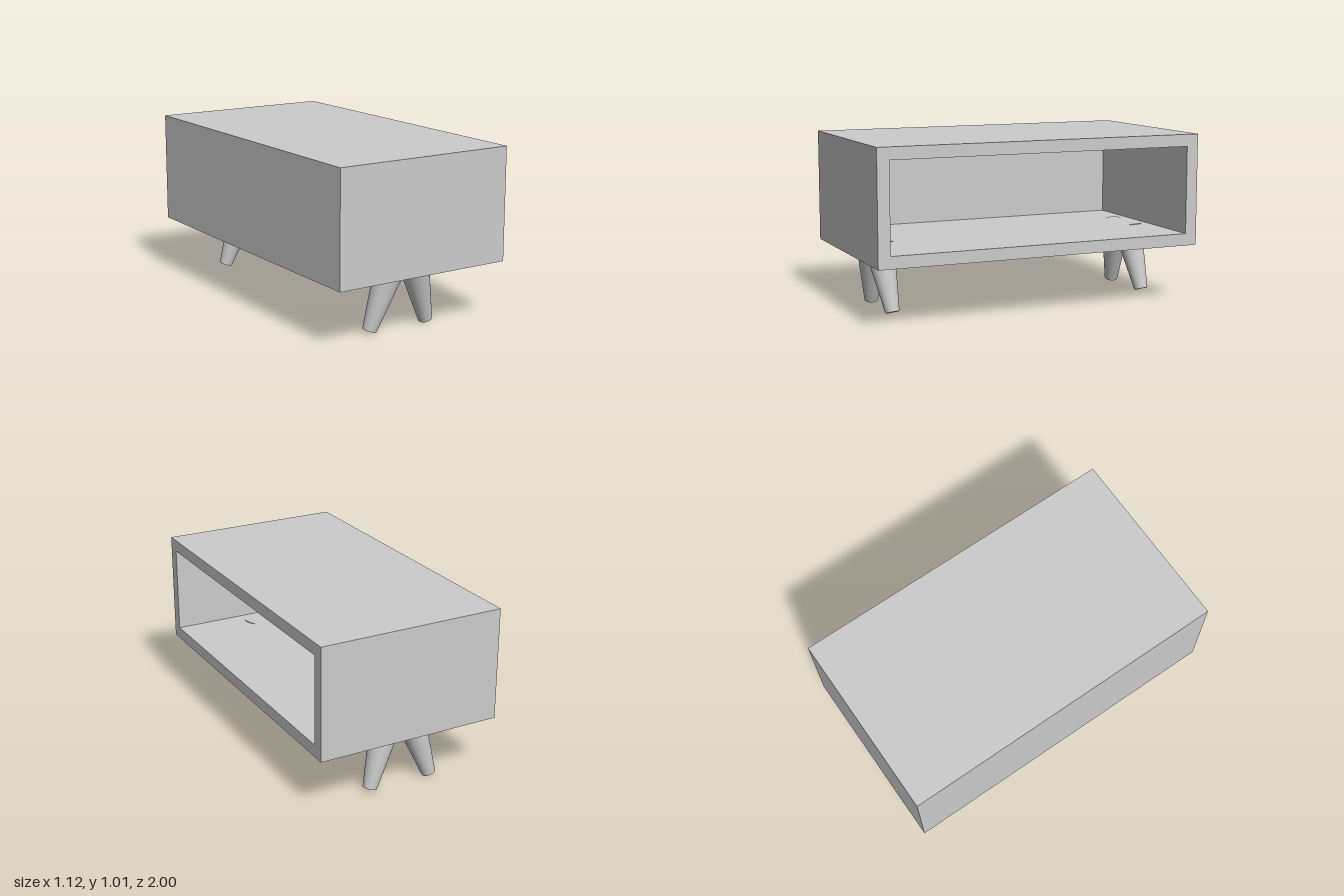
import * as THREE from 'three';

const WIDTH = 1.12, LENGTH = 2, BOTTOM = 0.345, TOP = 1.012, WALL = 0.072;

function rectangle(Type, halfWidth, low, high) {
  return new Type([
    new THREE.Vector2(-halfWidth, low), new THREE.Vector2(halfWidth, low),
    new THREE.Vector2(halfWidth, high), new THREE.Vector2(-halfWidth, high),
  ]);
}

export function createModel() {
  const group = new THREE.Group();
  const material = new THREE.MeshStandardMaterial({ color: 0xcccccc });

  function add(name, geometry, x, y, z) {
    const mesh = new THREE.Mesh(geometry, material);
    mesh.name = name;
    mesh.position.set(x, y, z);
    group.add(mesh);
    return mesh;
  }

  // Rectangular cabinet tube, open towards +x
  const outline = rectangle(THREE.Shape, LENGTH / 2, BOTTOM, TOP);
  outline.holes.push(rectangle(THREE.Path, LENGTH / 2 - WALL, BOTTOM + WALL, TOP - WALL));
  const frame = new THREE.ExtrudeGeometry(outline, { depth: WIDTH - WALL, bevelEnabled: false });
  frame.rotateY(Math.PI / 2);
  add('cabinetFrame', frame, -WIDTH / 2 + WALL, 0, 0);

  // Panel closing the -x side
  add('closedSidePanel', new THREE.BoxGeometry(WALL, TOP - BOTTOM, LENGTH),
    -WIDTH / 2 + WALL / 2, (TOP + BOTTOM) / 2, 0);

  // Two pairs of tapered legs, splayed in x and leaning slightly in z;
  // their tops just break through the cabinet floor
  const legLength = 0.4;
  const leg = new THREE.CylinderGeometry(0.0905, 0.041, legLength, 40);
  leg.translate(0, legLength / 2, 0);
  const up = new THREE.Vector3(0, 1, 0);
  for (const [end, z] of [['front', 0.788], ['back', -0.853]]) {
    for (const side of [-1, 1]) {
      const mesh = add(end + (side > 0 ? 'Left' : 'Right') + 'Leg', leg, -0.025 + side * 0.195, 0.0145, z);
      const axis = new THREE.Vector3(-side * 0.32, 1, 0.094).normalize();
      mesh.quaternion.setFromUnitVectors(up, axis);
    }
  }
  return group;
}
